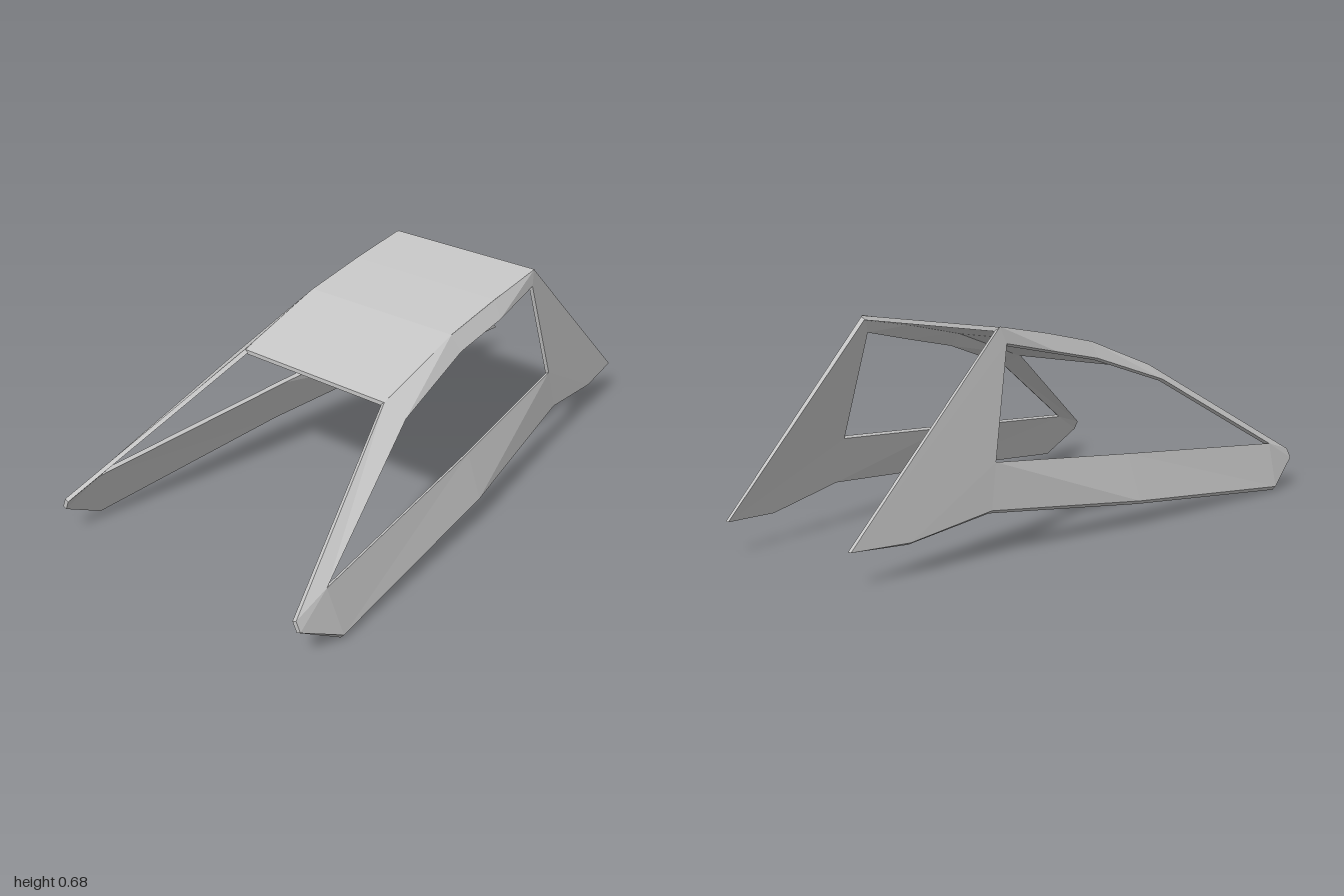
import * as THREE from 'three';

// Each station pairs a point on the frame's rim with one on the window opening,
// followed by the inward [x, y] shift that gives the panel its thickness.
const STATIONS = [
  { rim: [0.297, 0.682, -0.405], hole: [0.307, 0.63, -0.385], shift: [-0.016, -0.008] }, // roof rear
  { rim: [0.297, 0.645, -0.18], hole: [0.33, 0.588, -0.17], shift: [-0.015, -0.008] },
  { rim: [0.297, 0.6, 0.05], hole: [0.33, 0.548, 0.04], shift: [-0.015, -0.008] },
  { rim: [0.297, 0.492, 0.38], hole: [0.365, 0.45, 0.36], shift: [-0.012, -0.01] }, // roof front
  { rim: [0.5, 0.132, 1], hole: [0.497, 0.17, 0.87], shift: [-0.014, -0.006] }, // nose
  { rim: [0.515, 0.1, 1], hole: [0.497, 0.17, 0.87], shift: [-0.014, -0.006] },
  { rim: [0.54, 0.018, 0.85], hole: [0.497, 0.17, 0.87], shift: [-0.012, -0.014] }, // lower sill
  { rim: [0.462, 0.085, 0.1], hole: [0.412, 0.236, 0.1], shift: [-0.012, -0.012] },
  { rim: [0.347, 0.144, -0.5], hole: [0.337, 0.285, -0.47], shift: [-0.013, -0.01] },
  { rim: [0.306, 0.1, -0.8], hole: [0.337, 0.285, -0.47], shift: [-0.013, -0.008] }, // rear fin
  { rim: [0.273, 0.106, -1], hole: [0.337, 0.285, -0.47], shift: [-0.012, 0] },
];

// Closed, flat-faced window frame; side is 1 for left and -1 for right
function sideFrame(side) {
  const pos = [];
  const tri = (a, b, c) => {
    const pts = [a, b, c].map((p) => new THREE.Vector3(p[0] * side, p[1], p[2]));
    const area = pts[1].clone().sub(pts[0]).cross(pts[2].clone().sub(pts[0])).length();
    if (area < 1e-7) return;
    if (side < 0) pts.reverse();
    pts.forEach((p) => pos.push(p.x, p.y, p.z));
  };
  const quad = (a, b, c, d) => { tri(a, b, c); tri(a, c, d); };
  const inward = (p, s) => [p[0] + s[0], p[1] + s[1], p[2]];

  STATIONS.forEach((s, i) => {
    const t = STATIONS[(i + 1) % STATIONS.length];
    const [a, b, c, d] = [s.rim, t.rim, t.hole, s.hole];
    const [ai, bi] = [inward(a, s.shift), inward(b, t.shift)];
    const holeShift = [-0.013, -0.007];
    const [ci, di] = [inward(c, holeShift), inward(d, holeShift)];
    quad(a, b, c, d); // outer skin
    quad(di, ci, bi, ai); // inner skin
    quad(b, a, ai, bi); // rim edge
    quad(d, c, ci, di); // window edge
  });

  const geometry = new THREE.BufferGeometry();
  geometry.setAttribute('position', new THREE.Float32BufferAttribute(pos, 3));
  geometry.computeVertexNormals();
  return geometry;
}

// Thin bent sheet spanning the two frames
function roofSheet() {
  const top = [[-0.41, 0.681], [-0.18, 0.645], [0.05, 0.6], [0.38, 0.491]];
  const under = top.map(([z, y]) => [z, y - 0.014]).reverse();
  const shape = new THREE.Shape([...top, ...under].map(([z, y]) => new THREE.Vector2(z, y)));
  const width = 0.592;
  const geometry = new THREE.ExtrudeGeometry(shape, { depth: width, bevelEnabled: false });
  geometry.rotateY(-Math.PI / 2);
  geometry.translate(width / 2, 0, 0);
  return geometry;
}

export function createModel() {
  const model = new THREE.Group();
  model.name = 'canopyFrame';

  const grey = new THREE.MeshStandardMaterial({ color: 0xc4c4c4 });
  grey.name = 'lightGrey';

  const add = (geometry, name) => {
    const mesh = new THREE.Mesh(geometry, grey);
    mesh.name = name;
    model.add(mesh);
  };
  add(roofSheet(), 'roof');
  add(sideFrame(1), 'leftSideFrame');
  add(sideFrame(-1), 'rightSideFrame');
  return model;
}
